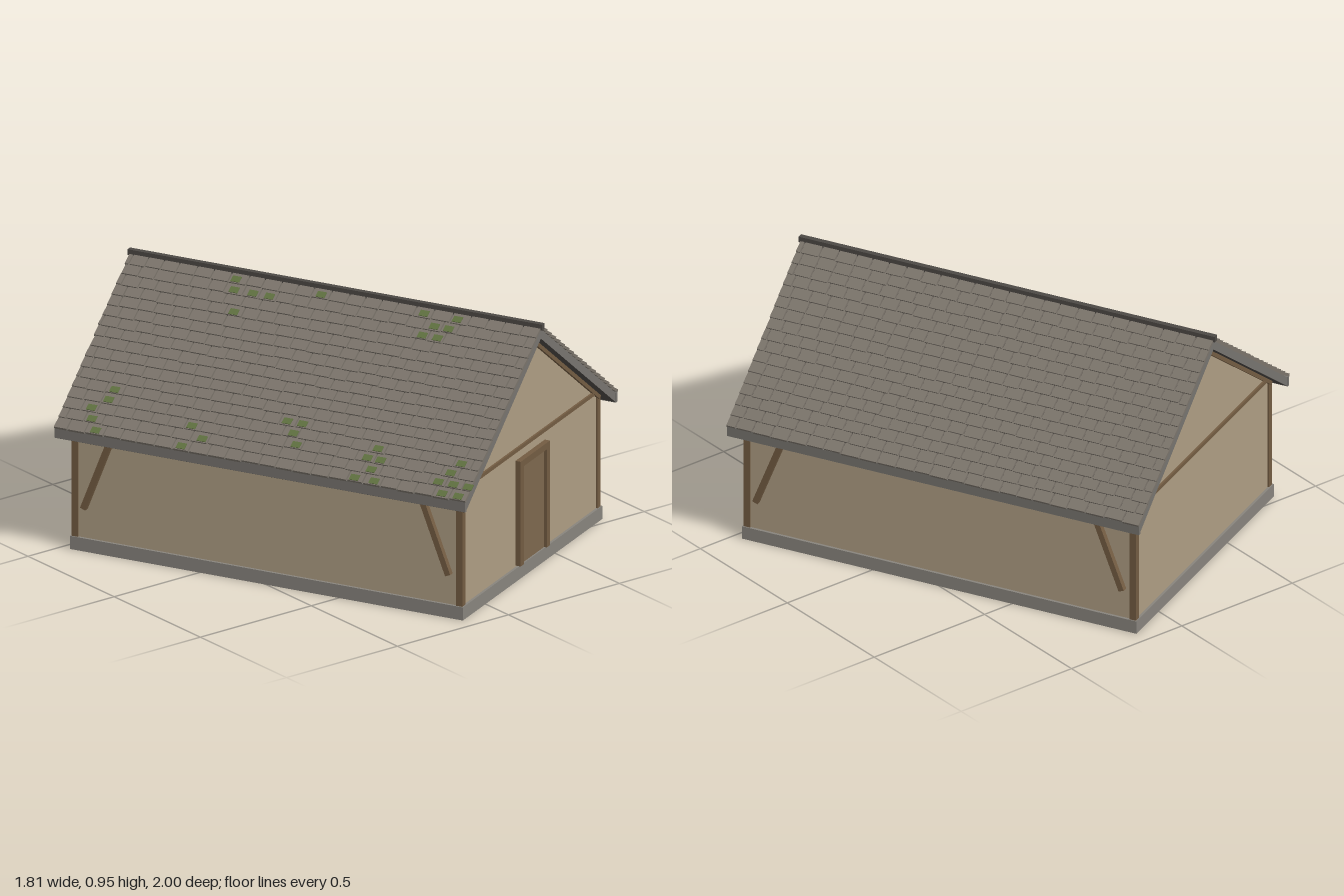
import * as THREE from 'three';
import { mergeGeometries } from 'three/addons/utils/BufferGeometryUtils.js';

const mat = (name, color) => {
  const m = new THREE.MeshStandardMaterial({ color });
  m.name = name;
  return m;
};

export function createModel() {
  const plaster = mat('plaster', 0xae9d83), stone = mat('stone', 0x88847d);
  const timber = mat('timber', 0x735c42), doorWood = mat('doorWood', 0x7d684e);
  const tileGrey = mat('tileGrey', 0x7b746b), roofDark = mat('roofDark', 0x4d4945);
  const boardGrey = mat('boardGrey', 0x77746f), moss = mat('moss', 0x5f7040);

  const model = new THREE.Group();
  const house = new THREE.Group();
  house.name = 'house';
  house.rotation.y = THREE.MathUtils.degToRad(25.6);
  model.add(house);

  const add = (name, geo, material) => {
    const mesh = new THREE.Mesh(geo, material);
    mesh.name = name;
    house.add(mesh);
    return mesh;
  };
  const box = (name, material, w, h, d, x, y, z) => {
    const mesh = add(name, new THREE.BoxGeometry(w, h, d), material);
    mesh.position.set(x, y, z);
    return mesh;
  };
  const extrude = (points, depth) => {
    const shape = new THREE.Shape(points.map(p => new THREE.Vector2(...p)));
    return new THREE.ExtrudeGeometry(shape, { depth, bevelEnabled: false })
      .translate(0, 0, -depth / 2);
  };

  let seed = 11;
  const rand = () => (seed = (seed * 16807) % 2147483647) / 2147483647;

  const A = 0.545, B = 0.772;            // wall half width and half length
  const ridge = 0.925, eave = 0.47, reach = 0.6;
  const pitch = Math.atan2(ridge - eave, reach);
  const slope = Math.hypot(reach, ridge - eave);
  const under = x => ridge - 0.036 - x * Math.tan(pitch);

  // Plinth and walls with gables
  box('plinth', stone, 1.11, 0.05, 1.564, 0, 0.025, 0);
  add('walls', extrude([[-A, 0.045], [A, 0.045], [A, under(A)], [0, under(0)], [-A, under(A)]], 2 * B), plaster);

  // Corner posts, wall braces, gable beams and rafters
  for (const sx of [-1, 1]) for (const sz of [-1, 1]) {
    box('cornerPost', timber, 0.025, 0.425, 0.025, sx * (A - 0.007), 0.2625, sz * (B - 0.007));
    const brace = box('brace', timber, 0.02, 0.3, 0.022, sx * (A + 0.01), 0.305, sz * 0.672);
    brace.rotation.x = -sz * Math.atan2(0.105, 0.27);
    const rafter = box('gableRafter', timber, 0.68, 0.016, 0.016, sx * 0.27, under(0.27) - 0.008, sz * (B + 0.002));
    rafter.rotation.z = -sx * pitch;
  }
  for (const sz of [-1, 1])
    box('gableBeam', timber, 2 * A - 0.02, 0.014, 0.016, 0, 0.497, sz * B);

  // Door with frame
  box('door', doorWood, 0.186, 0.38, 0.012, 0, 0.245, B + 0.004);
  for (const sx of [-1, 1])
    box('doorJamb', timber, 0.025, 0.4, 0.024, sx * 0.104, 0.255, B + 0.009);
  box('doorLintel', timber, 0.183, 0.025, 0.024, 0, 0.4425, B + 0.009);

  // Roof deck, eave boards and ridge
  add('roofDeck', extrude([[-reach, eave], [-reach, eave - 0.036], [0, ridge - 0.036],
    [reach, eave - 0.036], [reach, eave], [0, ridge]], 1.63), [boardGrey, roofDark]);
  for (const sx of [-1, 1])
    box('eaveBoard', boardGrey, 0.012, 0.038, 1.634, sx * 0.6, 0.456, 0);
  box('ridgeStrip', roofDark, 0.02, 0.022, 1.65, 0, 0.936, 0);

  // Overlapping tile courses, with moss clusters on the left-hand slope
  const mossSpots = [[-0.512, -0.667], [-0.573, -0.308], [-0.49, 0.098], [-0.53, 0.41],
    [-0.55, 0.756], [-0.06, -0.321], [-0.05, -0.017], [-0.04, 0.434]];
  const rows = 17, step = slope / rows, tileW = 0.068, half = 0.82;
  for (const side of [1, -1]) {
    const plain = [], mossy = [];
    for (let r = 0; r < rows; r++) {
      const u = (r + 0.5) * step;
      let z = -half, next = -half + tileW * (r % 2 ? 0.5 : 1);
      while (z < half - 0.005) {
        const end = Math.min(next, half);
        const mid = (z + end) / 2;
        const tile = new THREE.BoxGeometry(0.05, 0.01, Math.max(end - z - 0.005, 0.008))
          .rotateZ(0.12)
          .translate(u + (rand() - 0.5) * 0.004, 0.008, mid);
        plain.push(tile);
        const px = -u * Math.cos(pitch);
        const near = mossSpots.some(([x, s]) => Math.hypot(px - x, -mid - s) < 0.085);
        if (side < 0 && near && rand() < 0.55)
          mossy.push(new THREE.BoxGeometry(0.026, 0.003, 0.035)
            .rotateZ(0.12).translate(u + 0.008, 0.0148, mid + (rand() - 0.5) * 0.02));
        z = end;
        next = end + tileW + (rand() - 0.5) * 0.014;
      }
    }
    const place = geo => {
      geo.rotateZ(-pitch);
      if (side < 0) geo.rotateY(Math.PI);
      return geo.translate(0, ridge, 0);
    };
    add(side > 0 ? 'leftRoofTiles' : 'rightRoofTiles', place(mergeGeometries(plain)), tileGrey);
    if (mossy.length) add('roofMoss', place(mergeGeometries(mossy)), moss);
  }
  return model;
}
